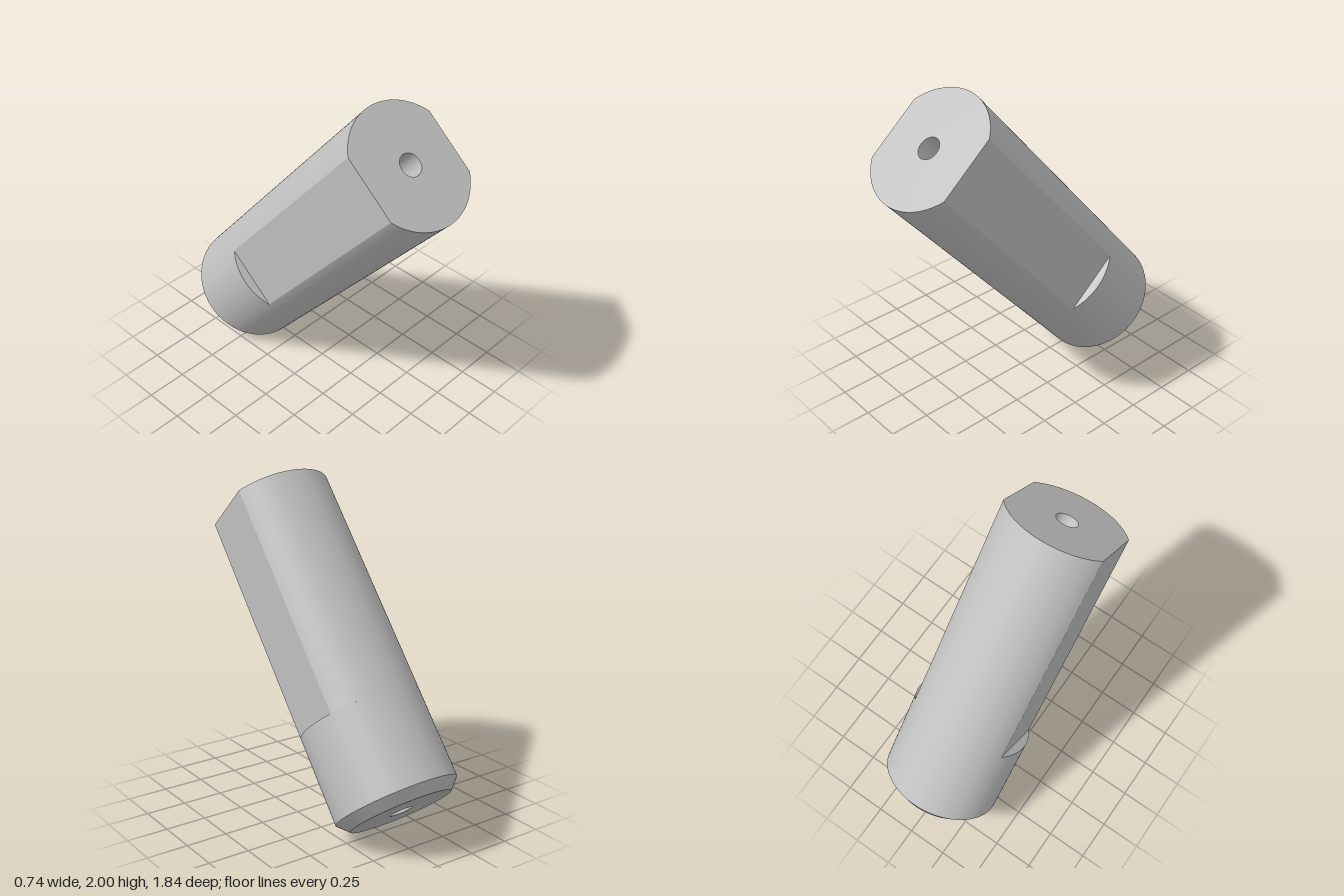
import * as THREE from 'three';

const R = 0.371, BORE = 0.067, FLAT = 0.316; // body radius, bore radius, flat distance from axis
const L = 2.04, CH = 0.064, SHOULDER = 0.602; // total length, chamfer, shoulder height along axis
const A = Math.asin(FLAT / R); // half angle of each curved side
const SEG = 96;

export function createModel() {
  const group = new THREE.Group();
  group.name = 'flattedPin';
  const steel = new THREE.MeshStandardMaterial({ color: 0xc0c0c0 });
  steel.name = 'light grey';

  const add = (name, geometry, y = 0) => {
    const mesh = new THREE.Mesh(geometry, steel);
    mesh.name = name;
    mesh.position.y = y;
    group.add(mesh);
    return mesh;
  };

  // Round base: chamfer, bottom ring and full cylinder
  add('bottomFace', new THREE.RingGeometry(BORE, R - CH, SEG).rotateX(Math.PI / 2));
  add('chamfer', new THREE.CylinderGeometry(R, R - CH, CH, SEG, 1, true), CH / 2);
  add('baseWall', new THREE.CylinderGeometry(R, R, SHOULDER - CH, SEG, 1, true), (SHOULDER + CH) / 2);

  // Upper shank: front and back arcs, with a flat and a shoulder on each side
  const H = L - SHOULDER, mid = (L + SHOULDER) / 2;
  const chord = 2 * Math.sqrt(R * R - FLAT * FLAT);
  for (const [name, centre] of [['frontWall', 0], ['backWall', Math.PI]]) {
    add(name, new THREE.CylinderGeometry(R, R, H, 48, 1, true, centre - A, 2 * A), mid);
  }
  for (const [name, side] of [['left', 1], ['right', -1]]) {
    const flat = add(name + 'Flat', new THREE.PlaneGeometry(chord, H).rotateY(side * Math.PI / 2), mid);
    flat.position.x = side * FLAT;
    const b = Math.PI / 2 - A, c = side > 0 ? 0 : Math.PI;
    const segment = new THREE.Shape().absarc(0, 0, R, c - b, c + b, false);
    add(name + 'Shoulder', new THREE.ShapeGeometry(segment, 24).rotateX(-Math.PI / 2), SHOULDER);
  }

  // Top face with the bore opening
  const top = new THREE.Shape();
  top.absarc(0, 0, R, Math.PI / 2 - A, Math.PI / 2 + A, false);
  top.absarc(0, 0, R, 1.5 * Math.PI - A, 1.5 * Math.PI + A, false);
  top.closePath();
  top.holes.push(new THREE.Path().absarc(0, 0, BORE, 0, Math.PI * 2, true));
  add('topFace', new THREE.ShapeGeometry(top, 48).rotateX(-Math.PI / 2), L);

  // Bore through the axis; profile runs downward so it faces inward
  add('bore', new THREE.LatheGeometry([new THREE.Vector2(BORE, L), new THREE.Vector2(BORE, 0)], 48));

  // Lean the whole pin forward
  group.rotation.x = THREE.MathUtils.degToRad(40);
  group.position.set(0, 0.198, -0.675);
  const model = new THREE.Group();
  model.name = 'model';
  model.add(group);
  return model;
}
